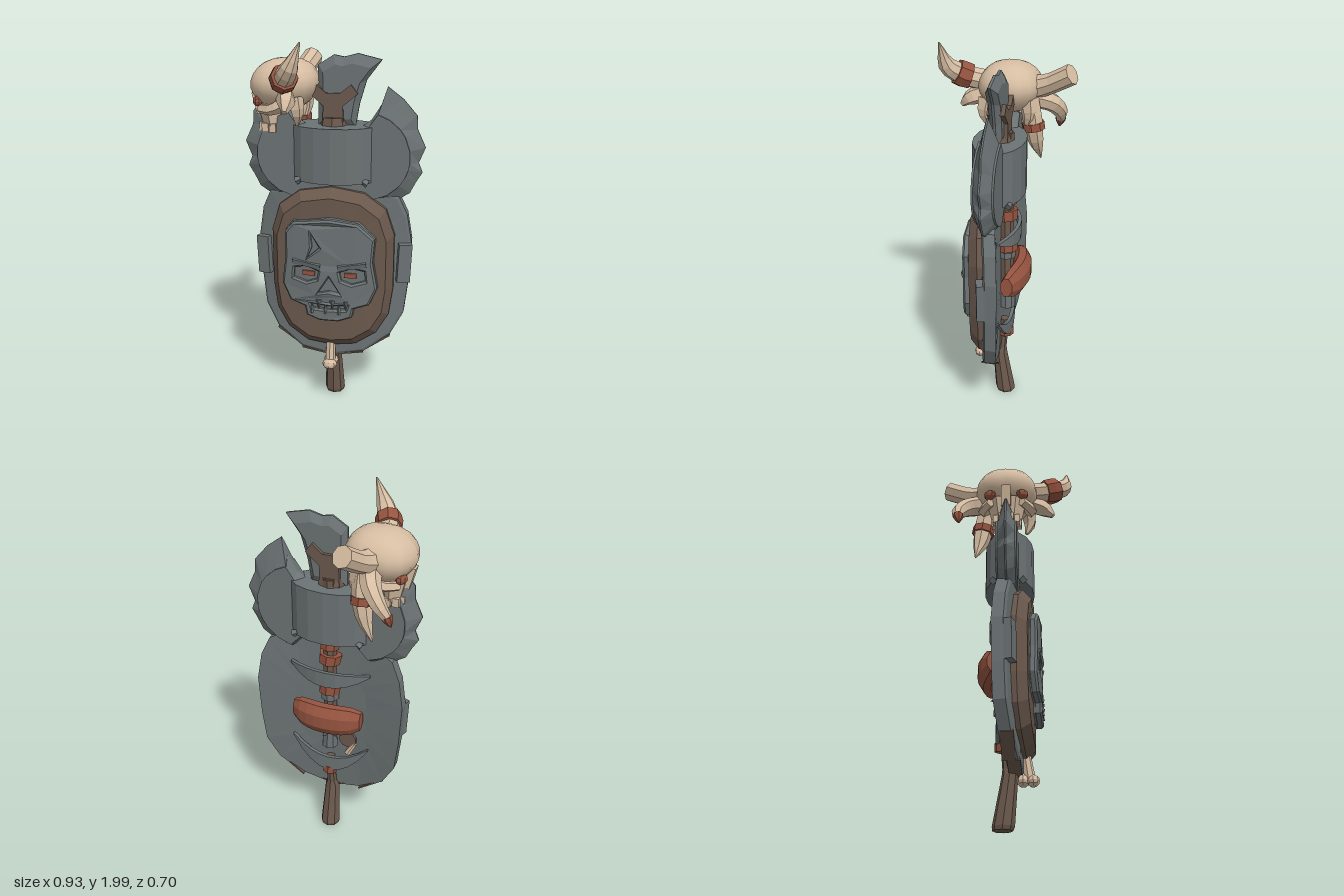
import * as THREE from 'three';

const mat = (name, color, flat = true) => {
  const m = new THREE.MeshStandardMaterial({ color, flatShading: flat });
  m.name = name;
  return m;
};
const steel = mat('steel', 0x6c7374);
const wood = mat('wood', 0x6b594d);
const bone = mat('bone', 0xd6bda2);
const boneSmooth = bone.clone();
boneSmooth.flatShading = false;
const leather = mat('leather', 0x965440);
const V = (x, y, z) => new THREE.Vector3(x, y, z);

// Skin between cross-section rings (counter-clockwise about the sweep direction), capped at both ends
function loft(rings) {
  const pos = [];
  const tri = (...ps) => ps.forEach(p => pos.push(p.x, p.y, p.z));
  const n = rings[0].length;
  const centre = r => r.reduce((s, p) => s.add(p), V(0, 0, 0)).divideScalar(n);
  const c0 = centre(rings[0]), c1 = centre(rings[rings.length - 1]);
  for (let j = 0; j < n; j++) {
    const k = (j + 1) % n;
    for (let i = 0; i < rings.length - 1; i++) {
      const a = rings[i], b = rings[i + 1];
      tri(a[j], a[k], b[k]);
      tri(a[j], b[k], b[j]);
    }
    tri(c0, rings[0][k], rings[0][j]);
    tri(c1, rings[rings.length - 1][j], rings[rings.length - 1][k]);
  }
  const g = new THREE.BufferGeometry();
  g.setAttribute('position', new THREE.Float32BufferAttribute(pos, 3));
  g.computeVertexNormals();
  return g;
}

// Plate from an outline, with [scale, z] layers from back to front, a sideways bend and a radius limit for scaled layers
const plate = (outline, cx, cy, layers, bend = 0, limit = 9) => loft(layers.map(([s, z]) => outline.map(([x, y]) => {
  const k = s < 1 ? Math.min(s, limit / Math.hypot(x - cx, y - cy)) : s;
  const px = cx + (x - cx) * k;
  return V(px, cy + (y - cy) * k, z - bend * px * px);
})));

// Tapered tube through points
function horn(points, radii, sides = 7, steps = 8) {
  const curve = new THREE.CatmullRomCurve3(points.map(p => V(...p)));
  const f = curve.computeFrenetFrames(steps);
  const rings = [];
  for (let i = 0; i <= steps; i++) {
    const t = i / steps * (radii.length - 1), k = Math.min(Math.floor(t), radii.length - 2);
    const r = THREE.MathUtils.lerp(radii[k], radii[k + 1], t - k), c = curve.getPoint(i / steps);
    rings.push(Array.from({ length: sides }, (_, j) => {
      const a = j / sides * Math.PI * 2;
      return c.clone().addScaledVector(f.normals[i], r * Math.cos(a)).addScaledVector(f.binormals[i], r * Math.sin(a));
    }));
  }
  return loft(rings);
}

const mirrorOutline = half => [...half, ...half.filter(p => p[0] > 0).reverse().map(([x, y]) => [-x, y])];
const toShape = pts => new THREE.Shape(pts.map(p => new THREE.Vector2(...p)));

export function createModel() {
  const root = new THREE.Group();
  const add = (name, geo, material, pos = [0, 0, 0], rot = [0, 0, 0], scale = [1, 1, 1], parent = root) => {
    const m = new THREE.Mesh(geo, material);
    m.name = name;
    m.position.set(...pos);
    m.rotation.set(...rot);
    m.scale.set(...scale);
    parent.add(m);
  };
  const box = (w, h, d) => new THREE.BoxGeometry(w, h, d);
  const cyl = (a, b, h, n = 8) => new THREE.CylinderGeometry(a, b, h, n);

  // Curved shield with side clamps and a wooden lower edge
  const shield = mirrorOutline([[0, 0.28], [0.17, 0.31], [0.31, 0.41], [0.38, 0.54], [0.4, 0.72], [0.41, 0.95],
    [0.385, 1.1], [0.34, 1.2], [0.2, 1.27], [0, 1.29]]);
  add('shield', plate(shield, 0, 0.8, [[0.03, -0.01], [0.5, -0.01], [1, 0], [1, 0.06], [0.97, 0.068], [0.5, 0.07], [0.03, 0.07]], 0.42), steel);
  for (const s of [-1, 1]) {
    add('sideClamp', box(0.07, 0.21, 0.075), steel, [s * 0.372, 0.84, 0.004], [0, s * 0.3, s * -0.04]);
    [[0, 0.28, 0.17, 0.31], [0.17, 0.31, 0.31, 0.41]].forEach(([x0, y0, x1, y1], i) => add('edgeBand',
      box(Math.hypot(x1 - x0, y1 - y0), 0.008, 0.065), wood,
      [s * (x0 + x1) / 2, (y0 + y1) / 2, 0.027 - i * 0.025], [0, 0, s * Math.atan2(y1 - y0, x1 - x0)]));
  }

  // Wooden board on the shield
  const board = mirrorOutline([[0, 0.355], [0.13, 0.37], [0.24, 0.44], [0.305, 0.55], [0.325, 0.7], [0.325, 1.0],
    [0.28, 1.14], [0.17, 1.225], [0, 1.255]]);
  add('board', plate(board, 0, 0.8, [[0.9, 0.04], [1, 0.05], [1, 0.085], [0.89, 0.13], [0.5, 0.13], [0.03, 0.13]], 0.35), wood);

  // Metal skull relief with cut-out eyes, nose, mouth and crack
  const face = [[-0.19, 1.075], [-0.235, 1.02], [-0.235, 0.88], [-0.255, 0.73], [-0.21, 0.635], [-0.13, 0.61], [-0.12, 0.56],
    [-0.05, 0.535], [0.05, 0.535], [0.12, 0.56], [0.13, 0.61], [0.21, 0.635], [0.25, 0.73], [0.225, 0.87], [0.235, 1.0],
    [0.15, 1.08], [0, 1.1]];
  add('skullBase', plate(face, 0, 0.82, [[1.02, 0.1], [1.02, 0.13], [0.96, 0.146], [0.5, 0.146], [0.03, 0.146]], 0.4), steel);
  const front = toShape(face);
  const holes = [[[0, 0.785], [0.06, 0.69], [0, 0.705], [-0.06, 0.69]],
    [[-0.1, 0.63], [0, 0.62], [0.1, 0.63], [0.09, 0.605], [0, 0.6], [-0.09, 0.605]],
    [[-0.1, 1.03], [-0.05, 0.945], [-0.115, 0.885], [-0.09, 0.945]]];
  for (const s of [-1, 1]) holes.push([[0.055, 0.815], [0.12, 0.84], [0.185, 0.825], [0.19, 0.77], [0.12, 0.75], [0.065, 0.77]].map(([x, y]) => [s * x, y]));
  holes.forEach(h => front.holes.push(new THREE.Path(h.map(p => new THREE.Vector2(...p)))));
  const faceGeo = new THREE.ExtrudeGeometry(front, { depth: 0.022, bevelEnabled: true, bevelSize: 0.01, bevelOffset: -0.01, bevelThickness: 0.01, bevelSegments: 1 });
  const fp = faceGeo.attributes.position;
  for (let i = 0; i < fp.count; i++) fp.setZ(i, fp.getZ(i) + 0.14 - 0.45 * fp.getX(i) ** 2);
  faceGeo.computeVertexNormals();
  add('skullFace', faceGeo, steel);
  for (const s of [-1, 1]) {
    add('reliefEye', box(0.065, 0.025, 0.009), leather, [s * 0.11, 0.797, 0.147], [0, s * 0.1, 0]);
    add('brow', box(0.15, 0.026, 0.016), steel, [s * 0.12, 0.855, 0.162], [0.3, s * 0.12, s * 0.12]);
  }
  for (let i = 0; i < 6; i++)
    add('tooth', new THREE.ConeGeometry(0.015, 0.06, 4), steel, [-0.09 + i * 0.036, 0.61 + (i % 2) * 0.015, 0.163], [0, 0, i % 2 ? Math.PI : 0]);

  // Handle, its wraps and back fittings
  add('handleGrip', loft([[0.01, 0.05, -0.035], [0.03, 0.056, -0.032], [0.28, 0.041, 0], [0.31, 0.028, -0.01], [0.5, 0.024, -0.028]].map(([y, r, z]) =>
    Array.from({ length: 8 }, (_, j) => V(r * Math.sin(j * Math.PI / 4), y, z + r * Math.cos(j * Math.PI / 4))))), wood);
  add('handleShaft', cyl(0.038, 0.038, 0.9), wood, [0, 1.15, -0.035]);
  add('pommel', cyl(0.038, 0.045, 0.12), steel, [0, 0.65, -0.04]);
  for (let i = 0; i < 5; i++) {
    const a = i * Math.PI * 0.4;
    add('pommelStud', new THREE.ConeGeometry(0.014, 0.035, 4), steel, [0.05 * Math.cos(a), 0.68, -0.04 + 0.05 * Math.sin(a)], [0, -a, -Math.PI / 2]);
  }
  for (const [y, h, r] of [[1.24, 0.06, 0.056], [1.15, 0.055, 0.062], [0.98, 0.08, 0.062], [0.42, 0.045, 0.044]])
    add('handleWrap', cyl(r, r * 0.92, h), leather, [0, y, -0.035], [0.08, 0, 0.1]);
  add('steelCollar', cyl(0.05, 0.05, 0.035), steel, [0, 0.92, -0.035]);
  add('backDisc', cyl(0.05, 0.05, 0.03, 10), wood, [-0.1, 0.64, -0.02], [Math.PI / 2, 0, 0]);
  add('backBone', cyl(0.014, 0.018, 0.09, 6), bone, [-0.12, 0.58, -0.025], [0, 0, 0.5]);

  // Bean-shaped grip pad across the back
  const pad = [];
  for (let i = 0; i <= 8; i++) {
    const t = i / 4 - 1, k = Math.sqrt(1 - 0.6 * t ** 4);
    pad.push(Array.from({ length: 8 }, (_, j) => {
      const a = (j + 0.5) * Math.PI / 4;
      return V(t * 0.19, 0.815 + 0.09 * k * Math.cos(a), -0.118 + 0.045 * t * t + 0.053 * k * Math.sin(a));
    }));
  }
  add('gripPad', loft(pad), leather);

  // Crescent straps across the back
  for (const [y, lift, zMid] of [[1.05, 0.03, -0.09], [0.47, 0.13, -0.05]]) {
    const rings = [];
    for (let i = 0; i <= 8; i++) {
      const t = i / 4 - 1, h = 0.006 + 0.038 * (1 - t * t), z = zMid + (-0.025 - zMid) * t * t - 0.01;
      rings.push([[-h, -0.01], [h, -0.01], [h, 0.01], [-h, 0.01]].map(([a, b]) => V(t * 0.22, y + lift * t * t + a, z + b)));
    }
    add('backStrap', loft(rings), steel);
  }

  // Small bone hanging under the shield
  add('boneShaft', cyl(0.024, 0.03, 0.15, 7), bone, [-0.005, 0.31, 0.09], [-0.15, 0, 0]);
  for (const z of [0.065, 0.115])
    add('boneKnob', new THREE.SphereGeometry(0.036, 8, 6), bone, [-0.005, 0.25, z], [0, 0, 0], [1.15, 0.85, 0.9]);

  // Axe head: socket and two bevelled blades
  add('axeSocket', cyl(0.22, 0.22, 0.285, 16), steel, [0, 1.42, 0], [0, 0, 0], [1, 1, 0.61]);
  const blade = [[0.09, 1.3], [0.17, 1.21], [0.22, 1.15], [0.31, 1.165], [0.395, 1.22], [0.425, 1.28], [0.455, 1.33], [0.435, 1.38],
    [0.467, 1.46], [0.425, 1.55], [0.42, 1.62], [0.35, 1.7], [0.27, 1.76], [0.24, 1.67], [0.19, 1.59], [0.09, 1.52]];
  for (const s of [-1, 1]) {
    add('axeBlade', plate(blade, 0.17, 1.41, [[0.88, -0.055], [0.9, -0.045], [1, -0.004], [1, 0.004], [0.9, 0.045], [0.88, 0.055]], 0, 0.225),
      steel, [0, 0, 0], [0, 0, 0], [s, 1, 1]);
    for (const z of [-1, 1]) {
      add('socketSpike', new THREE.ConeGeometry(0.022, 0.08, 4), steel, [s * 0.15, 1.295, z * 0.08], [0, 0, s * 1.1]);
      add('socketCorner', new THREE.ConeGeometry(0.03, 0.07, 4), steel, [s * 0.185, 1.55, z * 0.035], [0, 0, s * -0.5]);
    }
  }

  // Top crest and wooden fork
  const crest = [[-0.08, 1.55], [0.11, 1.55], [0.13, 1.67], [0.165, 1.79], [0.24, 1.89], [0.12, 1.918], [0.05, 1.9], [0, 1.91], [-0.08, 1.86]];
  add('crest', plate(crest, 0.03, 1.73, [[0.75, -0.03], [1, -0.006], [1, 0.006], [0.75, 0.03]]), steel);
  const fork = [[-0.055, 1.56], [0.055, 1.56], [0.05, 1.66], [0.125, 1.725], [0.09, 1.77], [0.035, 1.725], [-0.035, 1.725], [-0.09, 1.77], [-0.125, 1.725], [-0.05, 1.66]];
  add('fork', new THREE.ExtrudeGeometry(toShape(fork), { depth: 0.09, bevelEnabled: false }), wood, [0, 0, -0.05]);
  add('forkCollar', cyl(0.065, 0.075, 0.045), wood, [0, 1.58, 0]);

  // Horned skull hung on the axe, facing -x
  const skull = new THREE.Group();
  skull.name = 'hornedSkull';
  root.add(skull);
  const sk = (name, geo, material, pos, rot, scale) => add(name, geo, material, pos, rot, scale, skull);
  // Cranium: a sphere squared off sideways, its underside drawn in
  const cranium = new THREE.SphereGeometry(1, 16, 12);
  const cp = cranium.attributes.position;
  for (let i = 0; i < cp.count; i++) {
    const [x, y, z] = [cp.getX(i), cp.getY(i), cp.getZ(i)];
    const square = v => Math.sign(v) * Math.abs(v) ** 0.85, k = y < 0 ? 1 + 0.12 * y : 1;
    cp.setXYZ(i, square(x) * k, y, square(z) * k);
  }
  cranium.computeVertexNormals();
  sk('cranium', cranium, boneSmooth, [-0.25, 1.76, -0.003], [0, 0, 0.08], [0.176, 0.13, 0.165]);
  sk('upperJaw', cyl(0.11, 0.08, 0.13, 6), bone, [-0.32, 1.61, 0], [0, 0, 0.12], [0.62, 1, 0.95]);
  sk('noseBone', box(0.05, 0.11, 0.05), bone, [-0.385, 1.665, 0], [0, 0, 0.25]);
  for (const s of [-1, 1]) {
    sk('eye', new THREE.SphereGeometry(1, 8, 6), leather, [-0.375, 1.683, s * 0.085], [0, s * 0.5, 0], [0.024, 0.026, 0.034]);
    sk('cheekBone', horn([[-0.365, 1.645, s * 0.08], [-0.29, 1.65, s * 0.12], [-0.2, 1.7, s * 0.12]], [0.025, 0.03, 0.04], 5, 5), bone);
    sk('jawHinge', horn([[-0.18, 1.71, s * 0.11], [-0.165, 1.64, s * 0.12], [-0.17, 1.57, s * 0.1]], [0.045, 0.035, 0.01], 5, 5), bone);
    for (const [x, z] of [[-0.365, 0.025], [-0.345, 0.055], [-0.305, 0.065]])
      sk('skullTooth', box(0.034, 0.045, 0.026), bone, [x, 1.545, s * z]);
  }
  sk('sideTusk', horn([[-0.22, 1.72, 0.13], [-0.2, 1.7, 0.2], [-0.2, 1.66, 0.245]], [0.05, 0.045, 0.015], 5, 5), bone);

  // Horns: banded one in front, broken stub and two drooping ones behind
  sk('frontHorn', horn([[-0.24, 1.78, 0.1], [-0.21, 1.81, 0.22], [-0.16, 1.87, 0.305], [-0.1, 2.0, 0.33]], [0.055, 0.055, 0.048, 0.004], 8, 10), bone);
  sk('hornBand', horn([[-0.215, 1.805, 0.2], [-0.203, 1.818, 0.235], [-0.188, 1.835, 0.265]], [0.066, 0.07, 0.066], 8, 2), leather);
  sk('brokenHorn', horn([[-0.24, 1.76, -0.1], [-0.21, 1.79, -0.2], [-0.172, 1.86, -0.325]], [0.07, 0.052, 0.053], 8, 5), bone);
  sk('sideHorn', horn([[-0.24, 1.71, -0.13], [-0.27, 1.68, -0.215], [-0.325, 1.615, -0.255], [-0.37, 1.555, -0.25]], [0.055, 0.05, 0.038, 0.022], 7, 8), bone);
  sk('sideHornTip', horn([[-0.362, 1.57, -0.251], [-0.372, 1.545, -0.249], [-0.382, 1.515, -0.243]], [0.029, 0.023, 0.004], 7, 3), leather);
  sk('hangingHorn', horn([[-0.2, 1.72, -0.11], [-0.2, 1.6, -0.13], [-0.22, 1.48, -0.145], [-0.27, 1.37, -0.165]], [0.05, 0.054, 0.042, 0.004], 7, 8), bone);
  sk('hangingHornBand', cyl(0.06, 0.06, 0.04), leather, [-0.203, 1.57, -0.132], [0.15, 0, 0]);

  return root;
}
